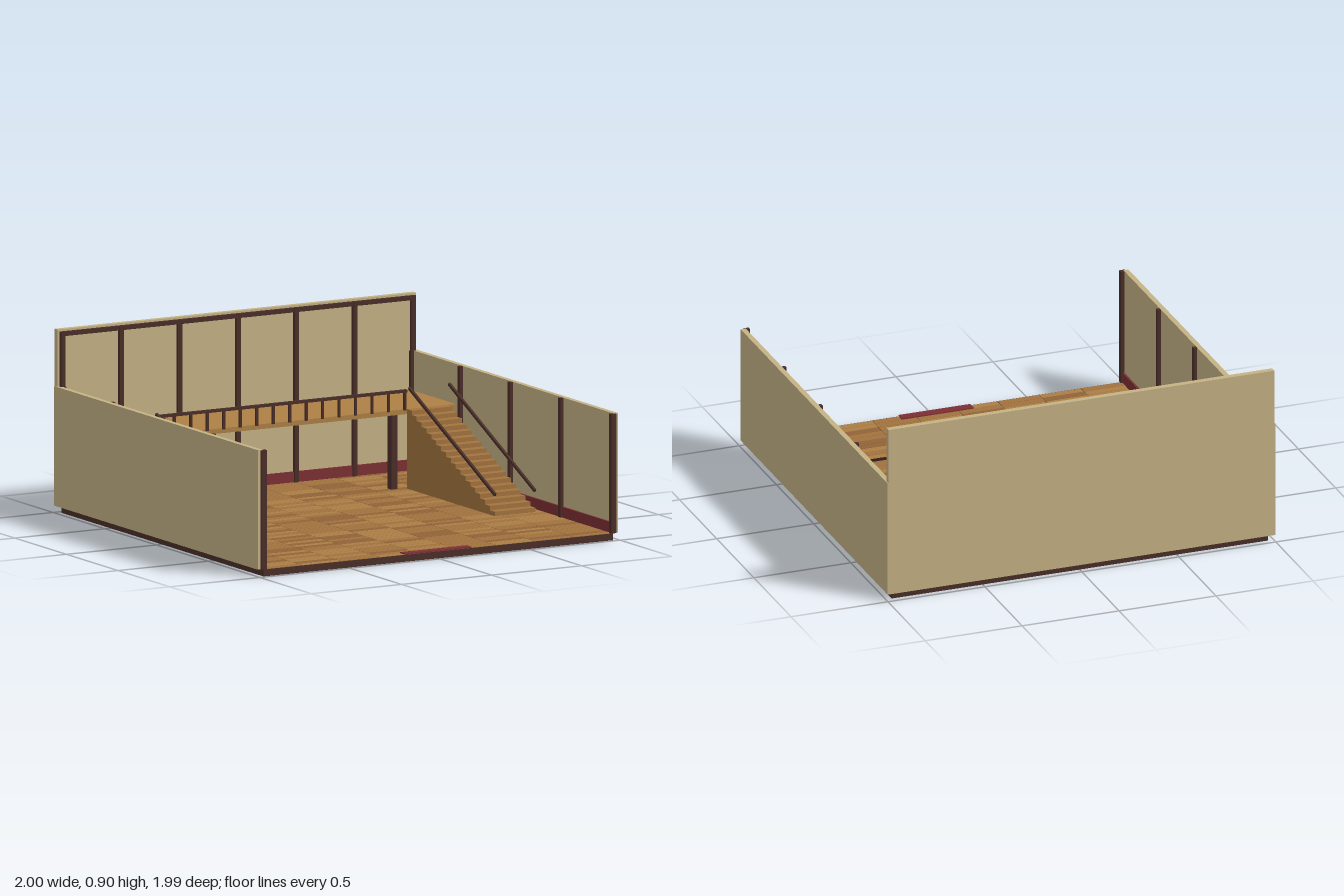
import * as THREE from 'three';
import { mergeGeometries } from 'three/addons/utils/BufferGeometryUtils.js';

const mat = (color) => new THREE.MeshStandardMaterial({ color });
const plaster = mat(0xc6b285), timber = mat(0x4a2e27), red = mat(0x7c2f33);
const wood = mat(0xad7f45), stairWood = mat(0xa3743e);
const planks = [mat(0xab7d45), mat(0xa1723d), mat(0x916437)];

// Box geometry given by its limits on each axis
function span(x0, x1, y0, y1, z0, z1) {
  return new THREE.BoxGeometry(x1 - x0, y1 - y0, z1 - z0)
    .translate((x0 + x1) / 2, (y0 + y1) / 2, (z0 + z1) / 2);
}

export function createModel() {
  const group = new THREE.Group();
  const add = (name, geometry, material) => {
    const mesh = new THREE.Mesh(geometry, material);
    mesh.name = name;
    group.add(mesh);
    return mesh;
  };
  const box = (name, material, ...limits) => add(name, span(...limits), material);
  const F = 0.035; // floor level

  // Floor slab with staggered-tone planks, narrow dark joints between
  box('floorSlab', timber, -0.97, 0.97, 0, F - 0.002, -0.97, 0.984);
  let seed = 7;
  const random = () => (seed = (seed * 16807) % 2147483647) / 2147483647;
  const columns = 9, rows = 45, w = 1.94 / columns, d = 1.95 / rows, gap = 0.0012;
  const tones = [[], [], []];
  for (let c = 0; c < columns; c++) {
    for (let r = 0; r < rows; r++) {
      const x = -0.97 + c * w, z = -0.97 + r * d, pick = random();
      tones[pick < 0.33 ? 0 : pick < 0.78 ? 1 : 2].push(
        span(x + gap, x + w - gap, F - 0.004, F, z + gap, z + d - gap));
    }
  }
  tones.forEach((list, i) => add('floorPlanks' + (i + 1), mergeGeometries(list), planks[i]));
  box('doorMat', red, -0.185, 0.185, F, F + 0.005, 0.937, 0.985);

  // Back wall, its timber frame and skirting
  box('backWall', plaster, -0.995, 0.995, F, 0.9, -0.995, -0.965);
  box('backSkirting', red, -0.97, 0.97, F, 0.087, -0.966, -0.956);
  box('backTopBeam', timber, -0.985, 0.985, 0.868, 0.89, -0.966, -0.95);
  for (let i = -3; i <= 3; i++) {
    const x = i * 0.324;
    box('backWallPost', timber, x - 0.012, x + 0.012, F, 0.89, -0.966, -0.948);
  }

  // Side walls with posts and skirting
  for (const s of [-1, 1]) {
    const side = (name, material, xa, xb, ...rest) =>
      box(name, material, Math.min(s * xa, s * xb), Math.max(s * xa, s * xb), ...rest);
    side('sideWall', plaster, 0.974, 1, F, 0.62, -0.994, 0.982);
    side('sideSkirting', red, 0.964, 0.975, F, 0.087, -0.965, 0.98);
    for (const z of [-0.958, -0.485, 0, 0.488, 0.98]) {
      side('sideWallPost', timber, 0.956, 0.976, F, 0.619, z - 0.011, z + 0.011);
    }
    // Timber end cap on the open front edge of the wall
    side('wallEndPost', timber, 0.956, 0.985, F, 0.618, 0.978, 0.992);

    // Post carrying the gallery
    side('galleryPost', timber, 0.621, 0.656, F, 0.402, -0.588, -0.553);

    // Solid staircase from a stepped side profile
    const steps = 18, zFront = 0.31, zBack = -0.54, top = 0.424;
    const profile = new THREE.Shape();
    profile.moveTo(zBack, F);
    profile.lineTo(zFront, F);
    for (let i = 0; i < steps; i++) {
      const y = F + (top - F) * (i + 1) / steps;
      profile.lineTo(zFront + (zBack - zFront) * i / steps, y);
      profile.lineTo(zFront + (zBack - zFront) * (i + 1) / steps, y);
    }
    const flight = new THREE.ExtrudeGeometry(profile, { depth: 0.225, bevelEnabled: false })
      .rotateY(-Math.PI / 2).translate(s * 0.8125 + 0.1125, 0, 0);
    add('staircase', flight, stairWood);

    // Sloping handrails on both sides of the flight
    for (const x of [0.702, 0.923]) {
      const rail = add('stairHandrail', new THREE.BoxGeometry(0.012, 0.014, 0.917), timber);
      rail.position.set(s * x, 0.335, -0.105);
      rail.rotation.x = Math.atan2(0.39, 0.83);
    }
  }

  // Gallery floor and balustrade
  box('galleryFloor', wood, -0.972, 0.972, 0.4, 0.424, -0.965, -0.539);
  box('galleryHandrail', timber, -0.695, 0.695, 0.508, 0.522, -0.543, -0.527);
  for (let i = 0; i < 16; i++) {
    const x = -0.686 + i * 1.372 / 15;
    box('galleryBaluster', timber, x - 0.006, x + 0.006, 0.42, 0.51, -0.541, -0.529);
  }
  return group;
}
